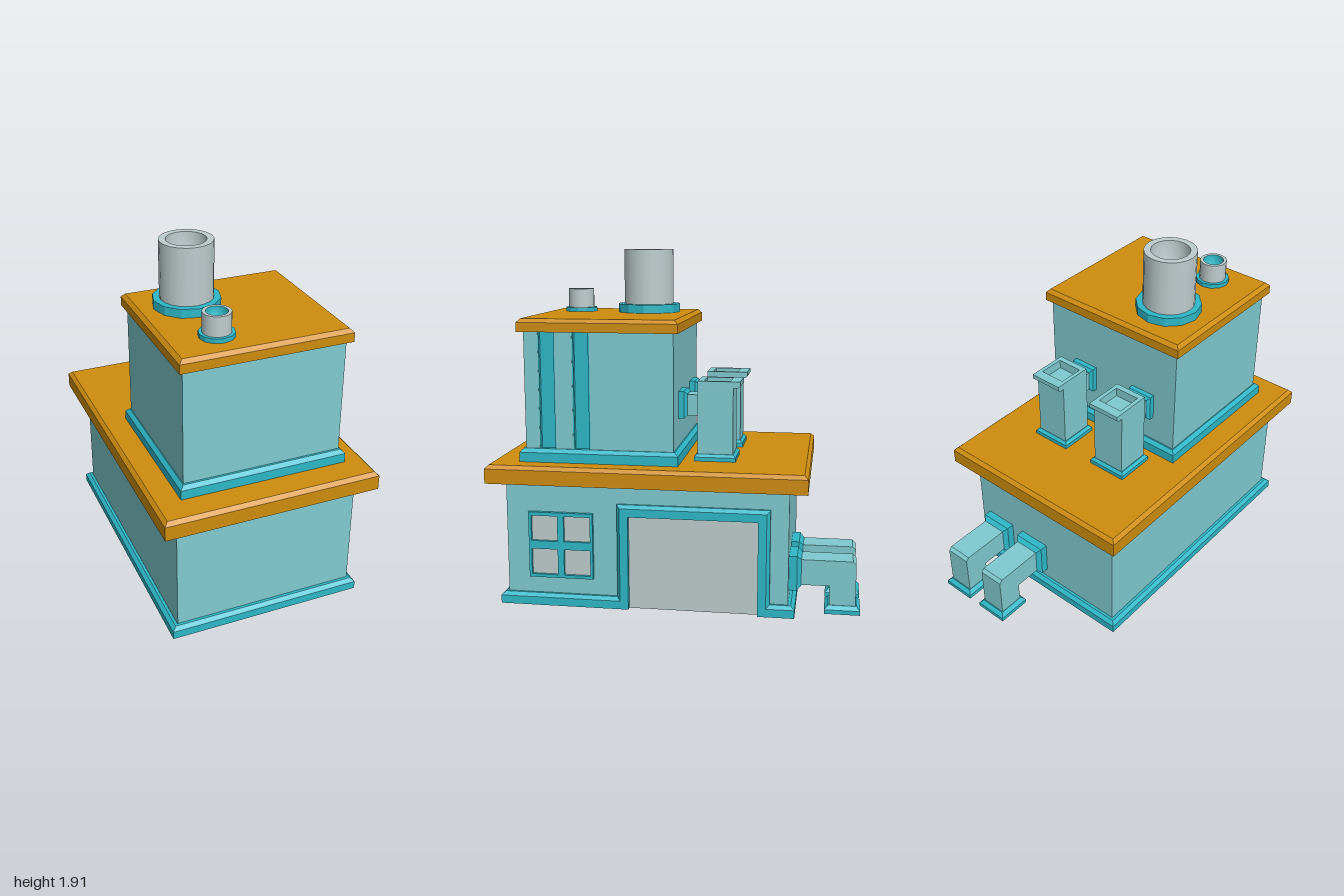
import * as THREE from 'three';

const material = (name, color, side = THREE.FrontSide) => {
  const m = new THREE.MeshStandardMaterial({ color, side });
  m.name = name;
  return m;
};

export function createModel() {
  const model = new THREE.Group();
  const wall = material('pale teal wall', 0x7fcad0, THREE.DoubleSide);
  const trim = material('teal trim', 0x2eb8c8, THREE.DoubleSide);
  const roof = material('ochre roof', 0xce8d0e);
  const grey = material('light grey', 0xbecccd, THREE.DoubleSide);

  const add = (name, geo, mat, x = 0, y = 0, z = 0, parent = model) => {
    const mesh = new THREE.Mesh(geo, mat);
    mesh.name = name;
    mesh.position.set(x, y, z);
    parent.add(mesh);
    return mesh;
  };
  const flat = (geo) => {
    const g = geo.index ? geo.toNonIndexed() : geo;
    g.computeVertexNormals();
    return g;
  };
  // Box given by its limits on each axis
  const box = (name, mat, x0, x1, y0, y1, z0, z1, parent) =>
    add(name, new THREE.BoxGeometry(x1 - x0, y1 - y0, z1 - z0), mat,
      (x0 + x1) / 2, (y0 + y1) / 2, (z0 + z1) / 2, parent);
  // Slab standing on y = 0 with chamfered top edges
  const slabGeo = (w, h, d, c) => {
    const g = new THREE.BoxGeometry(w, h, d, 1, 2, 1);
    const p = g.attributes.position;
    for (let i = 0; i < p.count; i++) {
      const y = p.getY(i);
      if (y > 0.001) {
        p.setX(i, p.getX(i) - Math.sign(p.getX(i)) * c);
        p.setZ(i, p.getZ(i) - Math.sign(p.getZ(i)) * c);
      }
      p.setY(i, y > 0.001 ? h : y < -0.001 ? 0 : h - c);
    }
    return flat(g);
  };
  const slab = (name, mat, x0, x1, y0, y1, z0, z1, c = 0.02, parent) =>
    add(name, slabGeo(x1 - x0, y1 - y0, z1 - z0, c), mat, (x0 + x1) / 2, y0, (z0 + z1) / 2, parent);
  // Rectangle path in side-on coordinates (u = -z, v = y)
  const rect = (Type, z0, z1, y0, y1) => new Type([
    [-z1, y0], [-z0, y0], [-z0, y1], [-z1, y1],
  ].map(([u, v]) => new THREE.Vector2(u, v)));
  // Extrude a side-on shape towards +x
  const sideExtrude = (shape, depth) =>
    new THREE.ExtrudeGeometry(shape, { depth, bevelEnabled: false }).rotateY(Math.PI / 2);

  // Lower storey: open-bottomed walls and roof
  const shell = new THREE.CylinderGeometry(Math.SQRT1_2, Math.SQRT1_2, 1, 4, 1, true).rotateY(Math.PI / 4);
  const lower = add('lowerWalls', flat(shell), wall, 0, 0.345, 0.145);
  lower.scale.set(1.005, 0.69, 1.53);
  slab('lowerRoof', roof, -0.595, 0.592, 0.685, 0.785, -0.717, 1.0);

  // Mitred skirting that climbs around the door: [corner, outward, up]
  const stations = [
    [[0.5, 0, -0.46], [1, 0, 0], [0, 1, -1]],
    [[0.5, 0.515, -0.46], [1, 0, 0], [0, 1, -1]],
    [[0.5, 0.515, 0.235], [1, 0, 0], [0, 1, 1]],
    [[0.5, 0, 0.235], [1, 0, 0], [0, 1, 1]],
    [[0.5, 0, 0.91], [1, 0, 1], [0, 1, 0]],
    [[-0.505, 0, 0.91], [-1, 0, 1], [0, 1, 0]],
    [[-0.505, 0, -0.62], [-1, 0, -1], [0, 1, 0]],
    [[0.5, 0, -0.62], [1, 0, -1], [0, 1, 0]],
  ];
  const section = [[0, 0], [0.036, 0], [0.036, 0.045], [0.016, 0.063], [0, 0.063]];
  const n = section.length, pos = [], idx = [];
  stations.forEach(([p, o, u], i) => {
    for (const [a, b] of section) pos.push(...p.map((v, k) => v + o[k] * a + u[k] * b));
    const next = (i + 1) % stations.length;
    for (let j = 0; j < n; j++) {
      const a = i * n + j, b = i * n + (j + 1) % n, c = next * n + j, d = next * n + (j + 1) % n;
      idx.push(a, b, c, b, d, c);
    }
  });
  const skirting = new THREE.BufferGeometry();
  skirting.setAttribute('position', new THREE.Float32BufferAttribute(pos, 3));
  skirting.setIndex(idx);
  add('skirtingAndDoorFrame', flat(skirting), trim);
  box('door', grey, 0.498, 0.506, 0, 0.518, -0.463, 0.238);

  // Four-pane window
  const frame = rect(THREE.Shape, 0.43, 0.785, 0.155, 0.52);
  for (const [z0, z1] of [[0.445, 0.59], [0.625, 0.77]])
    for (const [y0, y1] of [[0.172, 0.315], [0.36, 0.5]])
      frame.holes.push(rect(THREE.Path, z0, z1, y0, y1));
  add('windowFrame', sideExtrude(frame, 0.024), trim, 0.5);
  box('windowPanes', grey, 0.5, 0.507, 0.165, 0.51, 0.44, 0.775);

  // Upper storey, with two recessed strips in its left wall
  box('upperWalls', wall, -0.425, 0.42, 0.78, 1.49, 0, 0.808);
  for (const [z0, z1] of [[0, 0.45], [0.545, 0.64], [0.73, 0.808]])
    box('upperWallPanel', wall, 0.419, 0.45, 0.78, 1.49, z0, z1);
  for (const z of [0.4975, 0.685]) {
    box('recessBack', trim, 0.418, 0.424, 0.85, 1.487, z - 0.047, z + 0.047);
    for (const s of [-1, 1])
      box('recessSide', trim, 0.42, 0.449, 0.85, 1.487, z + s * 0.044 - 0.004, z + s * 0.044 + 0.004);
  }
  slab('upperSkirting', trim, -0.45, 0.475, 0.785, 0.857, -0.027, 0.84);
  slab('upperRoof', roof, -0.45, 0.475, 1.487, 1.557, -0.027, 0.84);

  // Chimneys: collar, pipe with rim and hollow bore
  const chimney = (x, z, collarR, collarH, r, inner, top, boreMat) => {
    const g = new THREE.Group();
    g.name = 'chimney';
    g.position.set(x, 1.555, z);
    model.add(g);
    add('collar', flat(new THREE.CylinderGeometry(collarR, collarR, collarH, 12)), trim, 0, collarH / 2, 0, g);
    add('pipe', new THREE.CylinderGeometry(r, r, top, 20, 1, true), grey, 0, top / 2, 0, g);
    add('rim', new THREE.RingGeometry(inner, r, 20).rotateX(-Math.PI / 2), grey, 0, top, 0, g);
    const bore = [[0, top * 0.5], [inner * 0.7, top * 0.55], [inner, top * 0.7], [inner, top]];
    add('bore', new THREE.LatheGeometry(bore.map(([a, b]) => new THREE.Vector2(a, b)), 20), boreMat, 0, 0, 0, g);
  };
  chimney(-0.18, 0.245, 0.18, 0.05, 0.142, 0.105, 0.36, grey);
  chimney(-0.183, 0.65, 0.093, 0.026, 0.074, 0.056, 0.133, trim);

  // Flange lying against a back wall at depth z
  const wallFlange = (x, y, z, w, h, d, c) => {
    const f = add('wallFlange', slabGeo(w, d, h, c), trim, x, y, z);
    f.rotation.x = -Math.PI / 2;
  };

  // Elbow ducts at ground level behind
  const elbow = new THREE.Shape([
    [0.61, 0.15], [0.835, 0.15], [0.835, 0], [0.975, 0], [0.975, 0.272], [0.957, 0.29], [0.61, 0.29],
  ].map(([u, v]) => new THREE.Vector2(u, v)));
  for (const x of [0.083, 0.35]) {
    add('elbowDuct', sideExtrude(elbow, 0.144), wall, x - 0.072);
    wallFlange(x, 0.218, -0.615, 0.188, 0.188, 0.07, 0.022);
    slab('ductFoot', trim, x - 0.094, x + 0.094, 0.002, 0.045, -1, -0.81);
  }

  // Vent stacks on the lower roof
  const lip = new THREE.Shape([
    [0.29, 1.185], [0.325, 1.185], [0.338, 1.195], [0.338, 1.22], [0.29, 1.22],
  ].map(([u, v]) => new THREE.Vector2(u, v)));
  const rim = rect(THREE.Shape, -0.3, -0.107, -0.096, 0.096);
  for (const x of [-0.208, 0.205]) {
    box('ventStack', wall, x - 0.096, x + 0.096, 0.785, 1.17, -0.3, -0.107);
    const ring = new THREE.Shape([[-0.096, 0.107], [0.096, 0.107], [0.096, 0.3], [-0.096, 0.3]]
      .map(([u, v]) => new THREE.Vector2(u, v)));
    ring.holes.push(new THREE.Path([[-0.073, 0.14], [0.073, 0.14], [0.073, 0.283], [-0.073, 0.283]]
      .map(([u, v]) => new THREE.Vector2(u, v))));
    add('ventRim', new THREE.ExtrudeGeometry(ring, { depth: 0.05, bevelEnabled: false })
      .rotateX(-Math.PI / 2), wall, x, 1.17);
    add('ventLip', sideExtrude(lip, 0.192), wall, x - 0.096);
    slab('ventFoot', trim, x - 0.115, x + 0.115, 0.785, 0.822, -0.317, -0.09, 0.015);
    box('ventNeck', wall, x - 0.058, x + 0.058, 1.025, 1.14, -0.11, 0);
    wallFlange(x, 1.085, 0, 0.15, 0.15, 0.046, 0.016);
  }
  return model;
}
